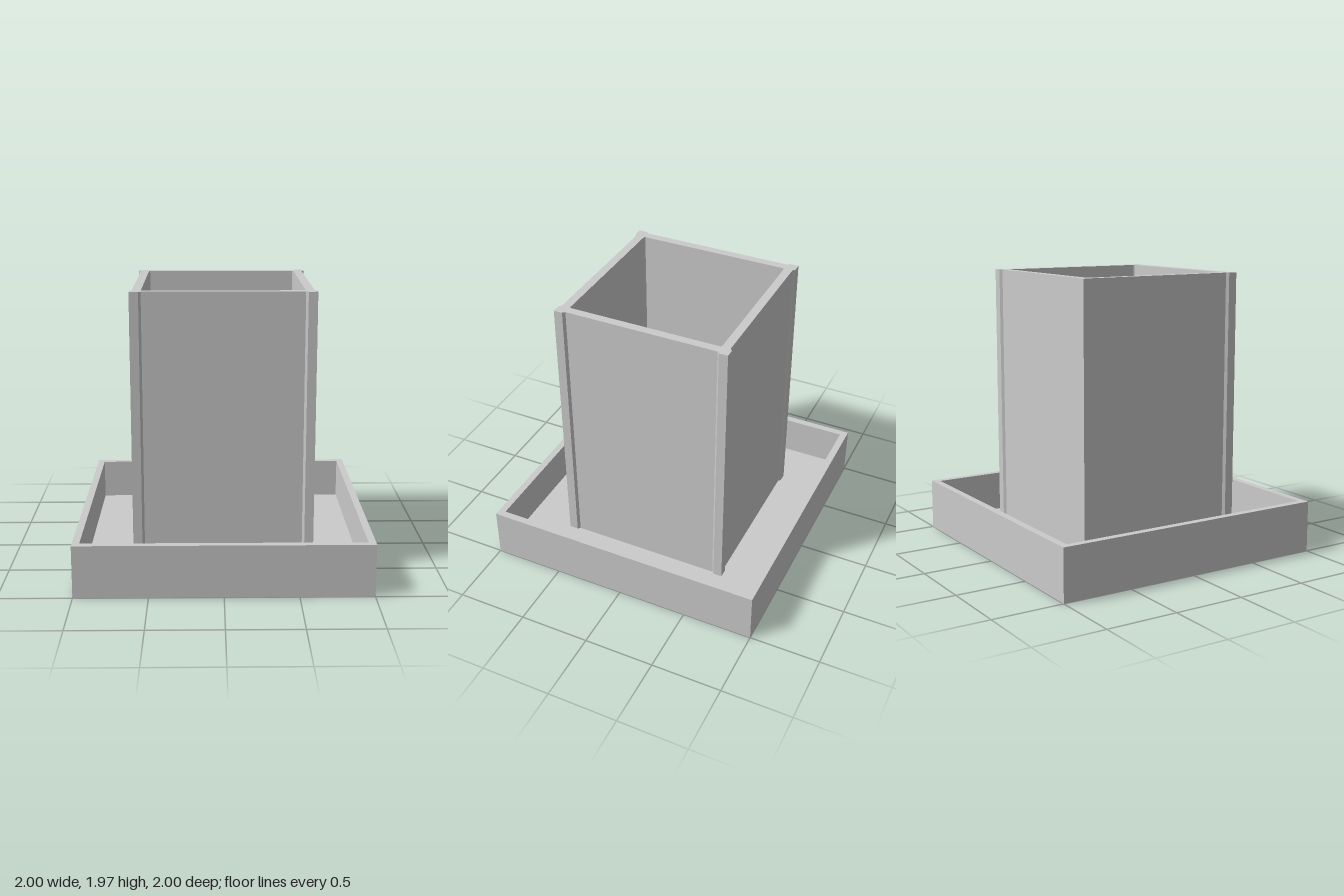
import * as THREE from 'three';

const TRAY_HEIGHT = 0.363;
const FLOOR = 0.075;
const TOP = 1.97;

// Repeats one corner's points around the four quadrants, counter-clockwise
function fourCorners(corner) {
  const points = [];
  for (let i = 0; i < 4; i++) {
    for (const [x, y] of corner) {
      points.push(new THREE.Vector2(x, y).rotateAround(new THREE.Vector2(), i * Math.PI / 2));
    }
  }
  return points;
}

// Upright hollow wall between an outer and an inner outline
function hollowWall(outer, inner, bottom, top) {
  const shape = new THREE.Shape(fourCorners(outer));
  shape.holes.push(new THREE.Path(fourCorners(inner).reverse()));
  const geometry = new THREE.ExtrudeGeometry(shape, { depth: top - bottom, bevelEnabled: false });
  return geometry.rotateX(-Math.PI / 2).translate(0, bottom, 0);
}

export function createModel() {
  const group = new THREE.Group();
  const material = new THREE.MeshStandardMaterial({ color: 0xcccccc, flatShading: true });

  const add = (name, geometry) => {
    const mesh = new THREE.Mesh(geometry, material);
    mesh.name = name;
    group.add(mesh);
  };

  // Square tray: rim walls around a floor slab
  add('trayWalls', hollowWall([[1, 1]], [[0.95, 0.95]], 0, TRAY_HEIGHT));
  add('trayFloor', new THREE.BoxGeometry(1.9, FLOOR, 1.9).translate(0, FLOOR / 2, 0));

  // Open square tower with raised, chamfered corner posts
  const post = [[0.602, 0.54], [0.618, 0.556], [0.618, 0.618], [0.556, 0.618], [0.54, 0.602]];
  const innerCorner = [[0.542, 0.533], [0.533, 0.542]];
  add('towerWalls', hollowWall(post, innerCorner, FLOOR, TOP));

  return group;
}
